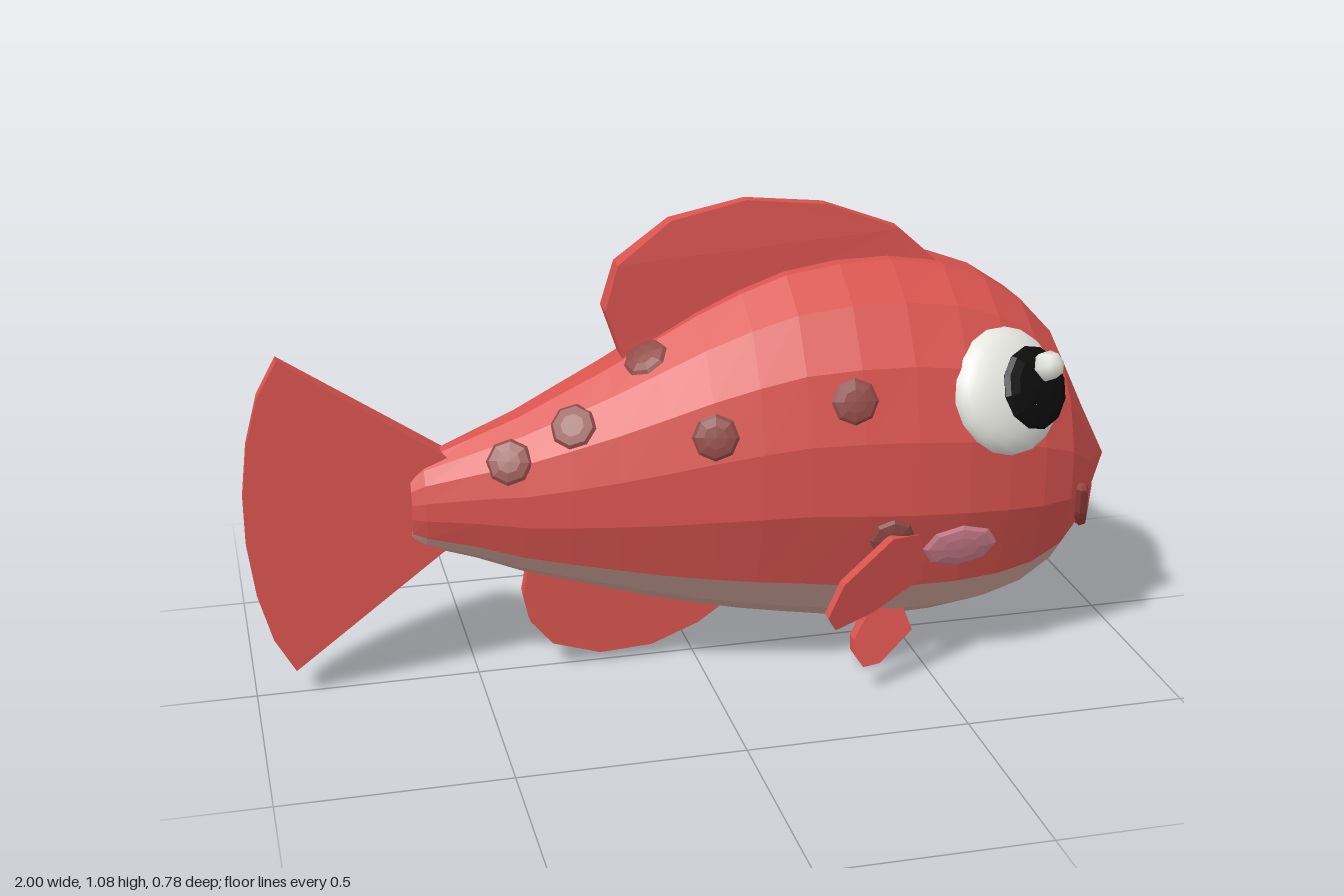
import * as THREE from 'three';

const flat = (name, color) => new THREE.MeshStandardMaterial({ name, color, flatShading: true });
const red = flat('red', 0xd9544f);
const bellyTone = flat('belly', 0xd0a59a);
const spotTone = flat('spot', 0x8f4a45);
const pink = flat('pink', 0xd08090);
const lipTone = flat('lip', 0x9a403c);
const white = new THREE.MeshStandardMaterial({ name: 'white', color: 0xf0f0ea });
const black = flat('black', 0x0c0c0c);

// Body sections from tail to nose: x, top, bottom, half width
const SECTIONS = [
  [-0.64, 0.43, 0.43, 0], [-0.64, 0.51, 0.345, 0.05], [-0.61, 0.535, 0.33, 0.067],
  [-0.5, 0.58, 0.295, 0.1], [-0.4, 0.62, 0.255, 0.13], [-0.3, 0.67, 0.225, 0.16],
  [-0.2, 0.72, 0.195, 0.185], [-0.1, 0.775, 0.165, 0.21], [0, 0.83, 0.14, 0.235],
  [0.1, 0.875, 0.118, 0.255], [0.2, 0.91, 0.1, 0.27], [0.32, 0.928, 0.08, 0.285],
  [0.44, 0.93, 0.067, 0.292], [0.56, 0.912, 0.07, 0.292], [0.66, 0.875, 0.082, 0.28],
  [0.75, 0.815, 0.11, 0.26], [0.83, 0.73, 0.16, 0.225], [0.9, 0.585, 0.24, 0.155],
  [1, 0.4, 0.4, 0],
];

// Shell of the body between the given angles (degrees, 0 = left side, 90 = top)
function shell(angles) {
  const pos = [], index = [], n = angles.length;
  SECTIONS.forEach(([x, top, bottom, w], i) => {
    angles.forEach((deg, j) => {
      const a = THREE.MathUtils.degToRad(deg);
      pos.push(x, (top + bottom) / 2 + (top - bottom) / 1.96 * Math.sin(a), w * 1.015 * Math.cos(a));
      if (i && j) {
        const p = (i - 1) * n + j - 1, q = i * n + j - 1;
        index.push(p, q, q + 1, p, q + 1, p + 1);
      }
    });
  });
  const g = new THREE.BufferGeometry();
  g.setAttribute('position', new THREE.Float32BufferAttribute(pos, 3));
  g.setIndex(index);
  g.computeVertexNormals();
  return g;
}

// Point on the body side at a given x and y
function surface(x, y, side) {
  let i = 2;
  while (i < SECTIONS.length - 1 && SECTIONS[i][0] < x) i++;
  const a = SECTIONS[i - 1], b = SECTIONS[i], t = (x - a[0]) / (b[0] - a[0]);
  const [top, bottom, w] = [1, 2, 3].map(k => a[k] + (b[k] - a[k]) * t);
  const s = (y - (top + bottom) / 2) / ((top - bottom) / 2);
  return new THREE.Vector3(x, y, side * w * Math.sqrt(Math.max(0, 1 - s * s)));
}

// Flattened ball whose short axis follows a normal
function lens(name, material, center, normal, rx, ry, thick, segs = 8, rings = 6) {
  const g = new THREE.SphereGeometry(1, segs, rings);
  g.rotateX(Math.PI / 2);
  g.scale(rx, ry, thick);
  const mesh = new THREE.Mesh(g, material);
  mesh.name = name;
  mesh.position.copy(center);
  mesh.lookAt(center.clone().add(normal));
  return mesh;
}

// Lens lying on the body surface
function patch(name, material, x, y, side, rx, ry) {
  const e = 0.02, p = surface(x, y, side);
  const du = surface(x + e, y, side).sub(surface(x - e, y, side));
  const dv = surface(x, y + e, side).sub(surface(x, y - e, side));
  const normal = du.cross(dv).multiplyScalar(side).normalize();
  return lens(name, material, p, normal, rx, ry, 0.012);
}

// Fin cut from an outline; place(x, y, s) returns z, with s = -1 or 1 for its two faces
function fin(name, outline, place) {
  const shape = new THREE.Shape(outline.map(p => new THREE.Vector2(...p)));
  const g = new THREE.ExtrudeGeometry(shape, { depth: 2, bevelEnabled: false });
  const p = g.attributes.position;
  for (let i = 0; i < p.count; i++) p.setZ(i, place(p.getX(i), p.getY(i), p.getZ(i) - 1));
  g.computeVertexNormals();
  const mesh = new THREE.Mesh(g, red);
  mesh.name = name;
  return mesh;
}

export function createModel() {
  const fish = new THREE.Group();
  fish.name = 'fish';
  const V = (x, y, z) => new THREE.Vector3(x, y, z);
  const add = (name, geometry, material) => {
    const mesh = new THREE.Mesh(geometry, material);
    mesh.name = name;
    fish.add(mesh);
  };

  // Body and belly
  const back = Array.from({ length: 10 }, (_, i) => -11.25 + i * 22.5);
  add('body', shell([-40, ...back, 220]), red);
  add('belly', shell([220, 238, 258.75, 281.25, 302, 320]), bellyTone);

  // Middle fins
  fish.add(fin('dorsalFin', [[-0.15, 0.7], [0.5, 0.86], [0.57, 0.9], [0.47, 0.99], [0.3, 1.055],
    [0.12, 1.075], [-0.05, 1.04], [-0.17, 0.95], [-0.2, 0.85], [-0.17, 0.76]],
  (x, y, s) => s * (0.03 - Math.max(0, y - 0.9) * 0.09)));
  fish.add(fin('analFin', [[-0.38, 0.27], [-0.395, 0.19], [-0.38, 0.12], [-0.33, 0.06], [-0.22, 0.025],
    [-0.1, 0.032], [0.01, 0.075], [0.09, 0.13], [0, 0.2]], (x, y, s) => s * 0.016));
  fish.add(fin('tailFin', [[-0.55, 0.54], [-0.91, 0.79], [-0.955, 0.71], [-0.985, 0.6], [-1, 0.48],
    [-1, 0.37], [-0.985, 0.25], [-0.955, 0.14], [-0.91, 0.06], [-0.55, 0.34]],
  (x, y, s) => s * (0.036 + (x + 0.55) * 0.05)));

  for (const side of [1, -1]) {
    const label = side > 0 ? 'Left' : 'Right';

    // Side fins
    fish.add(fin('pectoralFin' + label, [[0.47, 0.3], [0.45, 0.36], [0.38, 0.37], [0.25, 0.3], [0.21, 0.235],
      [0.23, 0.2], [0.33, 0.21], [0.46, 0.25]],
    (x, y, s) => side * (0.262 + (0.45 - x) * 0.47) + s * 0.014));
    fish.add(fin('pelvicFin' + label, [[0.38, 0.13], [0.34, 0.065], [0.34, 0.03], [0.36, 0], [0.4, 0.005],
      [0.48, 0.075], [0.46, 0.13], [0.42, 0.14]],
    (x, y, s) => side * (0.145 + (0.12 - y) * 0.2) + s * 0.016));

    // Eyes with pupils and highlights
    const eyeAxis = V(0.34, 0.4, side * 0.85), pupilAxis = V(0.42, 0.37, side * 0.83);
    fish.add(lens('eye' + label, white, V(0.66, 0.66, side * 0.215), eyeAxis, 0.145, 0.145, 0.07, 18, 14));
    fish.add(lens('pupil' + label, black, V(0.712, 0.677, side * 0.257), pupilAxis, 0.094, 0.094, 0.028, 12, 8));
    fish.add(lens('highlight' + label, white, V(0.737, 0.728, side * 0.265), pupilAxis, 0.036, 0.036, 0.036, 6, 4));
    fish.add(lens('smallHighlight' + label, white, V(0.695, 0.65, side * 0.291), pupilAxis, 0.013, 0.013, 0.013, 6, 4));

    fish.add(patch('cheek' + label, pink, 0.55, 0.32, side, 0.088, 0.058));
  }

  // Spots, different on each side
  const spots = [
    [-0.43, 0.545, 1], [-0.29, 0.62, 1], [-0.12, 0.75, 1], [0, 0.61, 1], [0.3, 0.68, 1], [0.39, 0.355, 1],
    [-0.34, 0.56, -1], [-0.11, 0.52, -1], [0.12, 0.46, -1], [0.25, 0.31, -1],
  ];
  for (const [x, y, side] of spots) fish.add(patch('spot', spotTone, x, y, side, 0.052, 0.052));

  // Wavy mouth
  const half = [[0.86, 0.405, 0.213], [0.873, 0.335, 0.185], [0.905, 0.283, 0.112]];
  const points = [...half, [0.965, 0.328, 0], ...half.map(([x, y, z]) => [x, y, -z]).reverse()];
  const path = new THREE.CurvePath();
  for (let i = 1; i < points.length; i++) path.add(new THREE.LineCurve3(V(...points[i - 1]), V(...points[i])));
  add('mouth', new THREE.TubeGeometry(path, 36, 0.015, 6), lipTone);
  for (const p of [points[0], points[6]]) {
    const cap = new THREE.SphereGeometry(0.015, 6, 4);
    cap.translate(...p);
    add('mouthCorner', cap, lipTone);
  }
  return fish;
}
